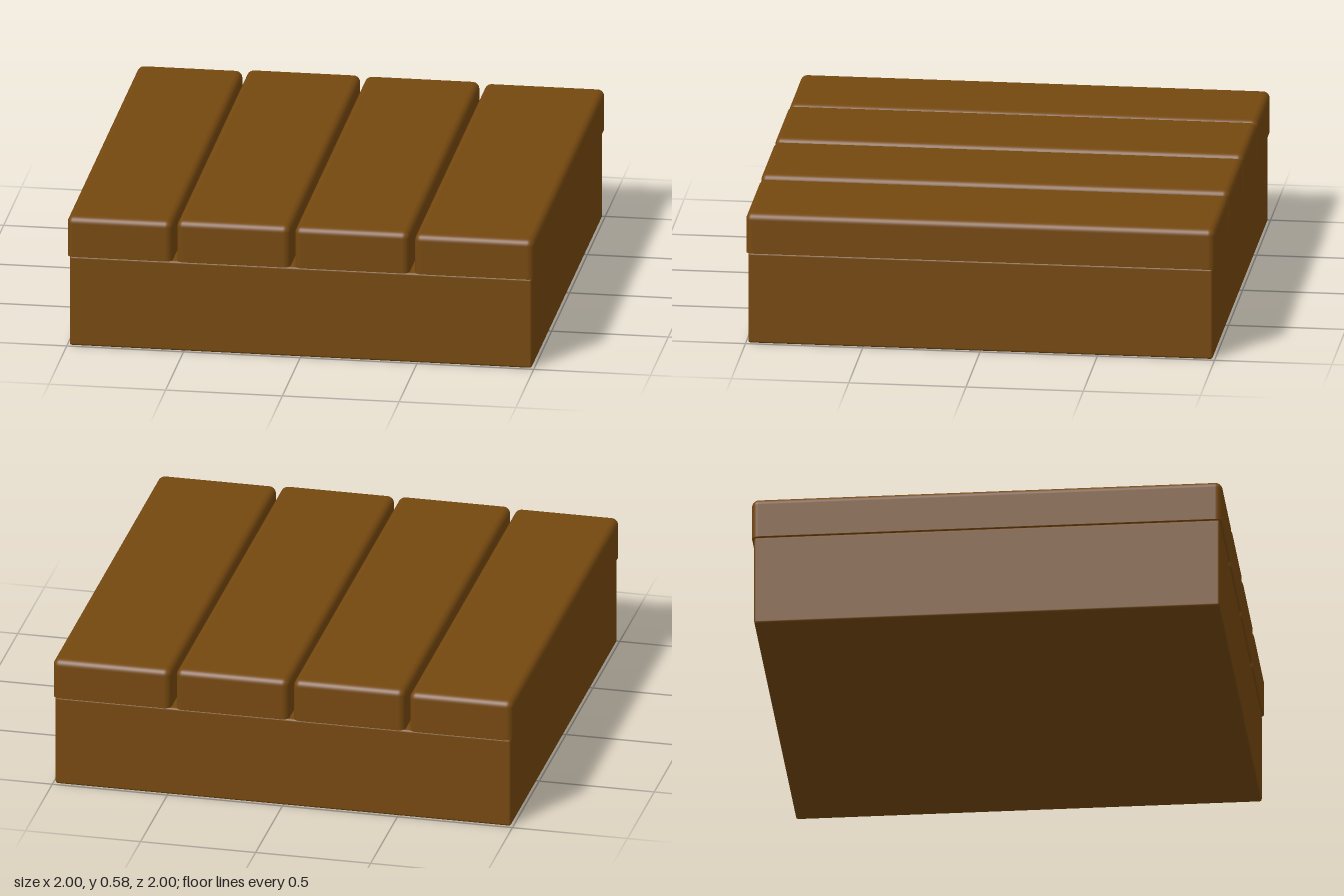
import * as THREE from 'three';
import { RoundedBoxGeometry } from 'three/addons/geometries/RoundedBoxGeometry.js';

const BASE_TOP = 0.4;

// Plank with rounded top and sides and a flat underside resting on the base
function plankGeometry(width, height, depth, radius) {
  const geo = new RoundedBoxGeometry(width, height + radius, depth, 4, radius);
  const pos = geo.attributes.position;
  const floor = -(height + radius) / 2 + radius;
  for (let i = 0; i < pos.count; i++) pos.setY(i, Math.max(pos.getY(i), floor));
  geo.translate(0, -floor, 0);
  return geo;
}

export function createModel() {
  const group = new THREE.Group();
  group.name = 'plankedBlock';
  const wood = new THREE.MeshStandardMaterial({ color: 0x75480f });
  wood.name = 'brown wood';

  // Solid base, slightly inset under the planks
  const base = new THREE.Mesh(new RoundedBoxGeometry(1.98, BASE_TOP, 1.98, 2, 0.01), wood);
  base.name = 'base';
  base.position.y = BASE_TOP / 2;
  group.add(base);

  // Four planks: left edge, right edge, top height
  const planks = [
    [-1, -0.55, 0.578],
    [-0.53, -0.045, 0.584],
    [-0.025, 0.465, 0.582],
    [0.488, 1, 0.576],
  ];
  planks.forEach(([x0, x1, top], i) => {
    const plank = new THREE.Mesh(plankGeometry(x1 - x0, top - BASE_TOP, 2, 0.03), wood);
    plank.name = `plank${i + 1}`;
    plank.position.set((x0 + x1) / 2, BASE_TOP, 0);
    group.add(plank);
  });

  return group;
}
